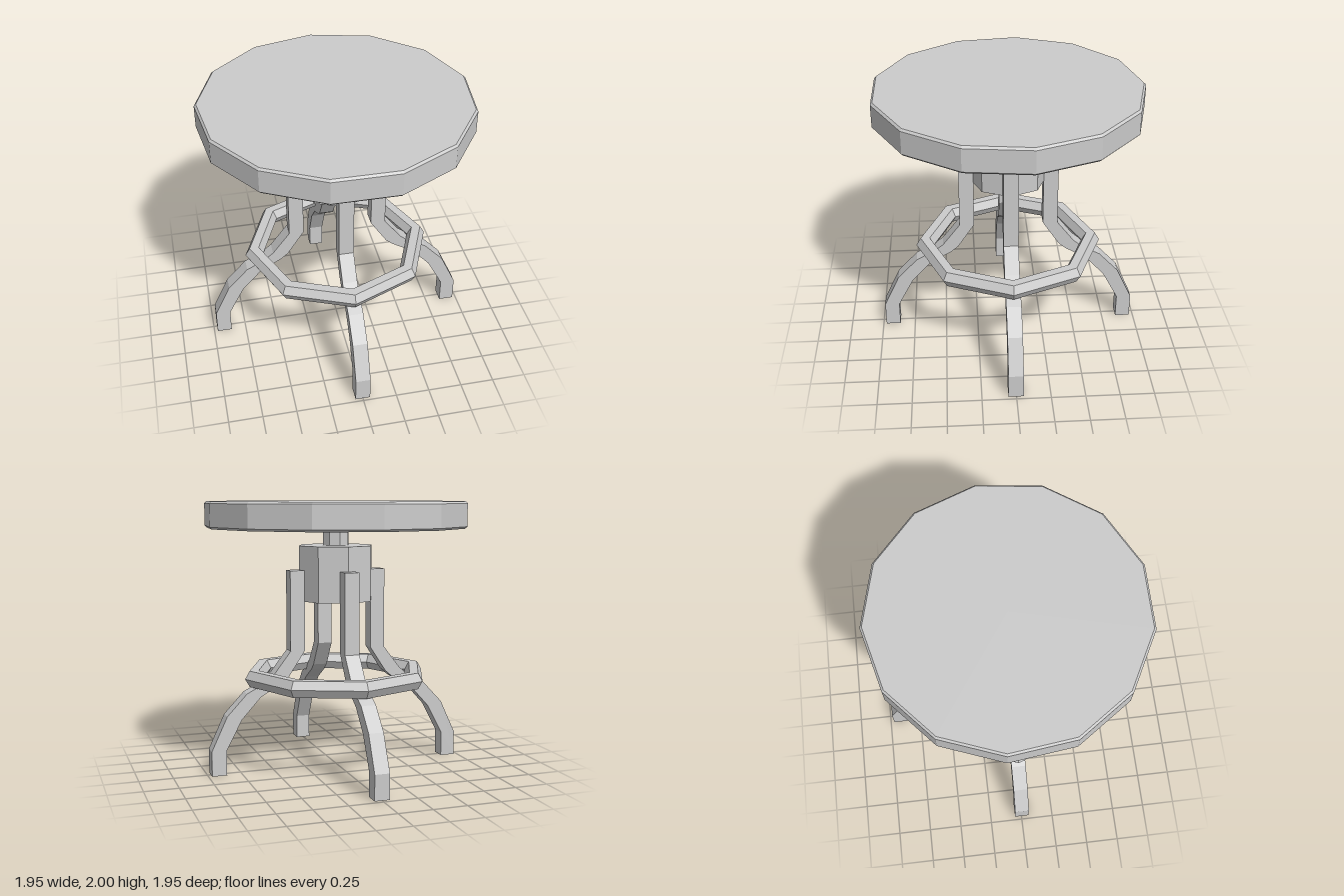
import * as THREE from 'three';

export function createModel() {
  const model = new THREE.Group();
  model.name = 'stool';
  const material = new THREE.MeshStandardMaterial({ color: 0xcccccc, flatShading: true });

  const add = (name, geometry, x = 0, y = 0, z = 0) => {
    const mesh = new THREE.Mesh(geometry, material);
    mesh.name = name;
    mesh.position.set(x, y, z);
    model.add(mesh);
    return mesh;
  };

  // Thirteen-sided seat with thin bevels, one corner pointing back
  const seatProfile = [[0, 1.805], [0.965, 1.805], [0.98, 1.82], [0.98, 1.985], [0.965, 2], [0, 2]]
    .map(([r, y]) => new THREE.Vector2(r, y));
  add('seat', new THREE.LatheGeometry(seatProfile, 13, Math.PI), 0, 0, 0.003);

  // Octagonal screw post and the hub that holds the legs
  add('post', new THREE.CylinderGeometry(0.1, 0.1, 0.21, 8), 0, 1.71, 0.003);
  add('hub', new THREE.CylinderGeometry(0.285, 0.285, 0.41, 8), 0, 1.47, 0.003);

  // Leg outline: down the outer side, back up the inner side
  const outline = [
    [0.37, 1.495], [0.37, 0.9], [0.5, 0.73], [0.58, 0.665], [0.705, 0.6], [0.855, 0.44], [0.974, 0.185], [0.974, 0],
    [0.863, 0], [0.863, 0.185], [0.745, 0.41], [0.6, 0.57], [0.44, 0.663], [0.385, 0.71], [0.26, 0.9], [0.26, 1.495],
  ].map(([x, y]) => new THREE.Vector2(x, y));
  const legGeometry = new THREE.ExtrudeGeometry(new THREE.Shape(outline), { depth: 0.11, bevelEnabled: false });
  legGeometry.translate(0, 0, -0.055);
  ['leftLeg', 'backLeg', 'rightLeg', 'frontLeg'].forEach((name, i) => {
    add(name, legGeometry, 0, 0, 0.003).rotation.y = i * Math.PI / 2;
  });

  // Octagonal footrest ring with a hexagonal section
  const ring = new THREE.TorusGeometry(0.636, 0.069, 6, 8);
  ring.rotateX(Math.PI / 2);
  add('footRing', ring, 0, 0.7, 0.003);

  return model;
}
